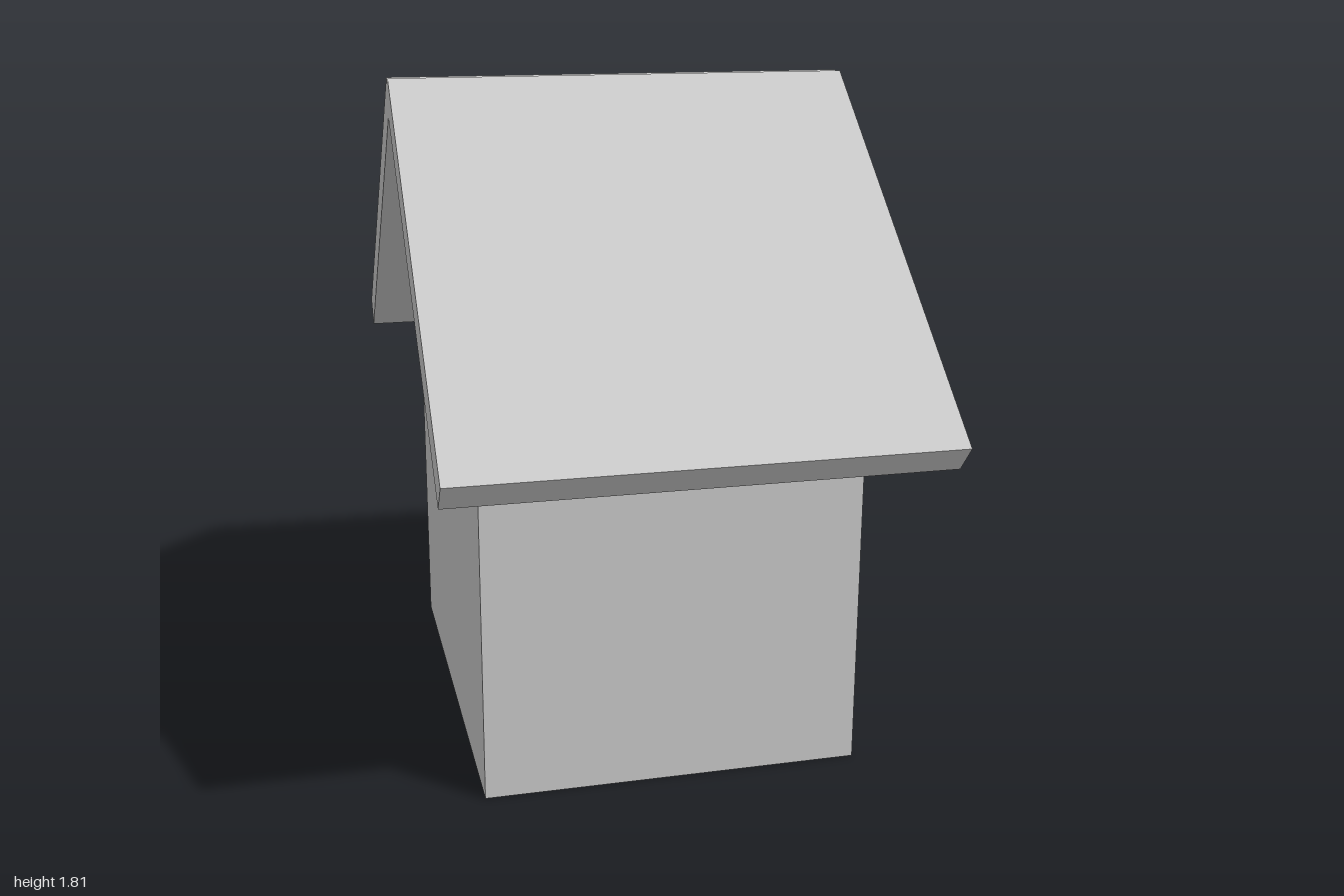
import * as THREE from 'three';

export function createModel() {
  const house = new THREE.Group();
  house.name = 'house';
  const material = new THREE.MeshStandardMaterial({ color: 0xcccccc, flatShading: true });

  function addBox(name, [w, h, d], [x, y, z], tilt = 0) {
    const mesh = new THREE.Mesh(new THREE.BoxGeometry(w, h, d), material);
    mesh.name = name;
    mesh.position.set(x, y, z);
    mesh.rotation.x = tilt;
    house.add(mesh);
  }

  const midZ = 0.008; // the body sits slightly forward of the ridge

  // Walls: a solid block whose top edges tuck into the roof
  addBox('walls', [1.02, 1.28, 1.28], [0, 0.64, midZ]);

  // Two tilted roof slabs crossing at the ridge
  const pitch = THREE.MathUtils.degToRad(40);
  for (const [name, side] of [['frontRoof', 1], ['backRoof', -1]]) {
    addBox(name, [1.28, 0.092, 1.281], [0, 1.3675, 0.48 * side], pitch * side);
  }

  // Door and windows: thin panels on the left gable wall, sunk a little into it
  addBox('door', [0.042, 0.37, 0.198], [0.511, 0.185, midZ]);
  for (const [name, side] of [['frontWindow', 1], ['backWindow', -1]]) {
    addBox(name, [0.042, 0.318, 0.318], [0.511, 0.744, midZ - 0.004 + 0.304 * side]);
  }

  return house;
}
